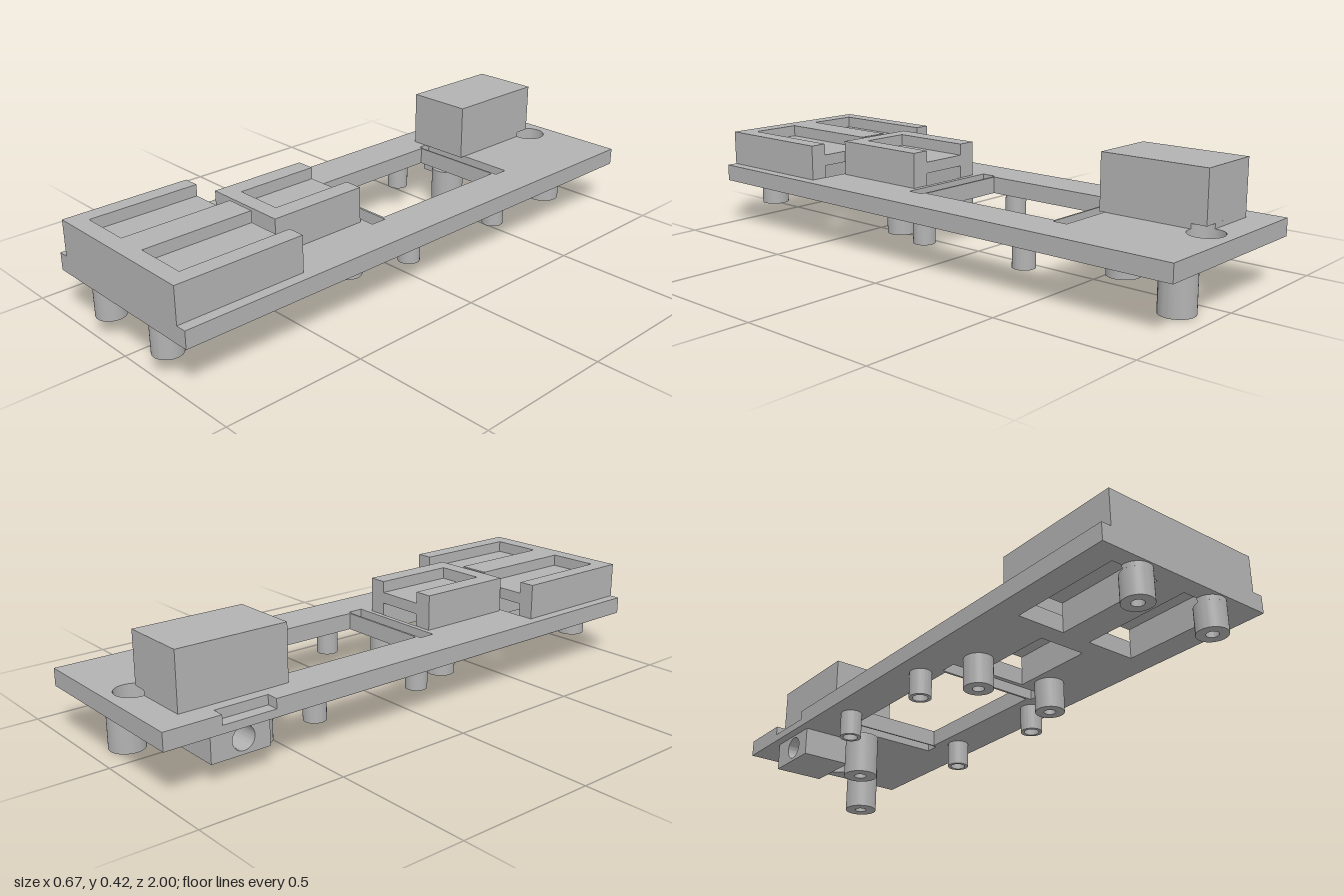
import * as THREE from 'three';
import { toCreasedNormals } from 'three/addons/utils/BufferGeometryUtils.js';

const Y0 = 0.168, YN = 0.195, Y1 = 0.228, YT = 0.353, YCUT = 0.152;

export function createModel() {
  const model = new THREE.Group();
  model.name = 'mountingPlateAssembly';
  const grey = new THREE.MeshStandardMaterial({ color: 0xb2b2b2 });
  grey.name = 'plain grey';

  const add = (name, geometry) => {
    const mesh = new THREE.Mesh(geometry, grey);
    mesh.name = name;
    model.add(mesh);
    return mesh;
  };
  const box = (name, x0, x1, y0, y1, z0, z1) =>
    add(name, new THREE.BoxGeometry(x1 - x0, y1 - y0, z1 - z0)
      .translate((x0 + x1) / 2, (y0 + y1) / 2, (z0 + z1) / 2));
  // Plan outlines are given as [x, z] pairs
  const plan = (points) => new THREE.Shape(points.map(([x, z]) => new THREE.Vector2(x, -z)));
  const rect = (x0, x1, z0, z1) => plan([[x0, z0], [x0, z1], [x1, z1], [x1, z0]]);
  const slab = (name, shape, y0, y1) => {
    const g = new THREE.ExtrudeGeometry(shape, { depth: y1 - y0, bevelEnabled: false, curveSegments: 32 });
    g.rotateX(-Math.PI / 2).translate(0, y0, 0);
    return add(name, toCreasedNormals(g, 0.5));
  };

  // Base plate: two layers, the upper one with a shallow notch in its edge
  const openings = () => {
    const round = new THREE.Path();
    round.absarc(0, 0.905, 0.06, 0, Math.PI * 2, false);
    return [
      round,
      rect(-0.18, 0.175, -0.472, 0.084),
      rect(-0.195, 0.19, -0.53, -0.478),
      rect(-0.195, 0.19, 0.092, 0.15),
      rect(-0.09, 0.085, 0.168, 0.47),
      rect(-0.24, -0.06, 0.54, 0.94),
      rect(0.05, 0.235, 0.54, 0.94),
    ];
  };
  const lower = rect(-0.333, 0.333, -1, 1);
  const upper = plan([[-0.333, -1], [-0.333, -0.805], [-0.29, -0.805], [-0.29, -0.615],
    [-0.333, -0.615], [-0.333, 1], [0.333, 1], [0.333, -1]]);
  lower.holes = openings();
  upper.holes = openings();
  slab('plateLower', lower, Y0, YN);
  slab('plateUpper', upper, YN, Y1);

  // Raised housings, open at the back, with a web across each bay
  const housing = (name, x0, x1, z0, z1, zBay, bays) => {
    const outline = [[x0, z0], [x0, z1], [x1, z1], [x1, z0]];
    [...bays].reverse().forEach(([a, b]) => outline.push([b, z0], [b, zBay], [a, zBay], [a, z0]));
    slab(name + 'Walls', plan(outline), Y1, YT);
    bays.forEach(([a, b]) => box(name + 'Web', a, b, 0.272, 0.312, z0, zBay));
  };
  housing('middleHousing', -0.155, 0.15, 0.168, 0.527, 0.47, [[-0.09, 0.085]]);
  housing('frontHousing', -0.297, 0.295, 0.54, 1, 0.94, [[-0.24, -0.06], [0.05, 0.235]]);

  // Tall block, with its lower corner relieved by the round opening
  const foot = new THREE.Shape();
  foot.moveTo(-0.25, 0.9);
  foot.lineTo(-0.25, 0.51);
  foot.lineTo(-0.01, 0.51);
  foot.lineTo(-0.01, 0.846);
  foot.absarc(0, 0.905, 0.06, Math.PI + 1.403, Math.PI + 0.083, true);
  slab('tallBlockFoot', foot, Y1, 0.245);
  box('tallBlock', -0.25, -0.01, 0.245, 0.423, -0.9, -0.51);

  // Hollow posts under the plate
  const post = (name, x, z, r, bore, y0, top = Y0) => {
    const profile = [[0, 0.135], [bore, 0.135], [bore, y0], [r, y0], [r, top], [0, top]]
      .map(([a, b]) => new THREE.Vector2(a, b));
    const g = new THREE.LatheGeometry(profile, 40).translate(x, 0, z);
    add(name, toCreasedNormals(g, 0.5));
  };
  // Remaining part of a post top that is cut along z = zCut
  const postTop = (name, x, z, r, zCut, keepFront) => {
    const a = Math.asin((z - zCut) / r);
    const s = new THREE.Shape();
    if (keepFront) s.absarc(x, -z, r, Math.PI - a, Math.PI * 2 + a, false);
    else s.absarc(x, -z, r, a, Math.PI - a, false);
    slab(name, s, YCUT, Y0);
  };
  for (const side of [-1, 1]) {
    post('frontPost', side * 0.153, 0.945, 0.05, 0.02, 0.062, YCUT);
    postTop('frontPostTop', side * 0.153, 0.945, 0.05, 0.94, true);
    post('middlePost', side * 0.153, 0.23, 0.05, 0.02, 0.062);
    for (const z of [0.03, -0.405]) post('smallPost', side * 0.242, z, 0.038, 0.026, 0.077);
  }
  post('tallPost', 0.107, -0.88, 0.06, 0.022, 0);
  post('tallPost', -0.107, -0.545, 0.06, 0.022, 0, YCUT);
  postTop('tallPostTop', -0.107, -0.545, 0.06, -0.53, false);

  // Side block under the plate, bored sideways
  const side = new THREE.Shape();
  side.moveTo(0.62, 0.068);
  side.lineTo(0.83, 0.068);
  side.lineTo(0.83, Y0);
  side.lineTo(0.62, Y0);
  const bore = new THREE.Path();
  bore.absarc(0.715, 0.12, 0.04, 0, Math.PI * 2, true);
  side.holes.push(bore);
  const sideGeo = new THREE.ExtrudeGeometry(side, { depth: 0.173, bevelEnabled: false, curveSegments: 24 });
  sideGeo.rotateY(Math.PI / 2).translate(-0.303, 0, 0);
  add('sideBlock', toCreasedNormals(sideGeo, 0.5));
  box('sideBlockBack', -0.13, -0.12, 0.068, Y0, -0.83, -0.62);

  return model;
}
